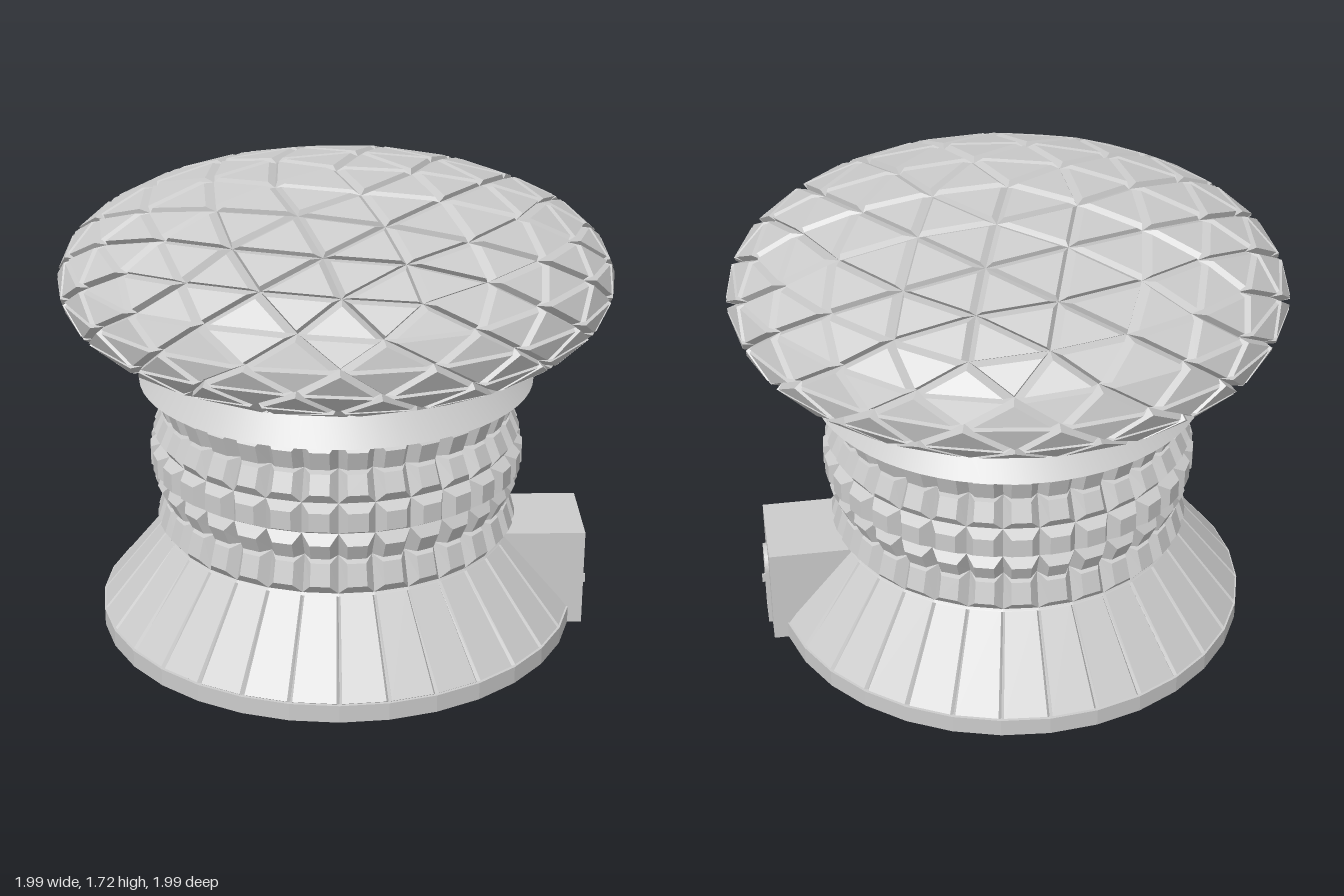
import * as THREE from 'three';
import { mergeVertices, toCreasedNormals } from 'three/addons/utils/BufferGeometryUtils.js';

const SIDES = 32;
const flat = new THREE.MeshStandardMaterial({ color: 0xcccccc, flatShading: true, side: THREE.DoubleSide });
const smooth = new THREE.MeshStandardMaterial({ color: 0xcccccc, side: THREE.DoubleSide });

function add(group, name, geometry, material = flat) {
  const mesh = new THREE.Mesh(geometry, material);
  mesh.name = name;
  group.add(mesh);
  return mesh;
}

// Point on a circle around the y axis; angle 0 faces the front (+z)
const polar = (r, y, a) => new THREE.Vector3(r * Math.sin(a), y, r * Math.cos(a));

function geometryFrom(points) {
  const g = new THREE.BufferGeometry().setFromPoints(points);
  g.computeVertexNormals();
  return g;
}

// A bevelled plate: an outer loop joined to a smaller, lifted loop
function plate(out, base, top, lift) {
  const n = top[1].clone().sub(top[0]).cross(top[2].clone().sub(top[0])).normalize();
  const t = top.map((p) => p.clone().addScaledVector(n, lift));
  const count = base.length;
  for (let i = 0; i < count; i++) {
    const j = (i + 1) % count;
    out.push(base[i], base[j], t[j], base[i], t[j], t[i]);
  }
  for (let i = 1; i < count - 1; i++) out.push(t[0], t[i], t[i + 1]);
}

// Ring of plates between two heights; u and v are the inset shares
function plateRing(out, [r0, y0], [r1, y1], u, v, lift) {
  for (let i = 0; i < SIDES; i++) {
    const a = (i / SIDES) * Math.PI * 2, b = ((i + 1) / SIDES) * Math.PI * 2;
    const base = [polar(r0, y0, a), polar(r0, y0, b), polar(r1, y1, b), polar(r1, y1, a)];
    const at = (s, t) => base[0].clone().lerp(base[1], s)
      .lerp(base[3].clone().lerp(base[2], s), t);
    plate(out, base, [at(u, v), at(1 - u, v), at(1 - u, 1 - v), at(u, 1 - v)], lift);
  }
}

// Triangles of a geodesic sphere with a corner at the top
function geodesic(levels) {
  const step = Math.PI / 5, lat = Math.atan(0.5);
  const ring = (k, s) => polar(Math.cos(lat), s * Math.sin(lat), Math.PI / 2 + k * step);
  const north = new THREE.Vector3(0, 1, 0), south = new THREE.Vector3(0, -1, 0);
  let tris = [];
  for (let k = 0; k < 10; k += 2) {
    const a = ring(k, 1), b = ring(k + 2, 1), c = ring(k + 1, -1), d = ring(k + 3, -1);
    tris.push([north, a, b], [a, c, b], [b, c, d], [c, south, d]);
  }
  const mid = (p, q) => p.clone().add(q).normalize();
  for (let l = 0; l < levels; l++) {
    tris = tris.flatMap(([a, b, c]) => {
      const ab = mid(a, b), bc = mid(b, c), ca = mid(c, a);
      return [[a, ab, ca], [ab, b, bc], [ca, bc, c], [ab, bc, ca]];
    });
  }
  return tris;
}

function archShape(w, h) {
  const s = new THREE.Shape();
  s.moveTo(-w, 0);
  s.lineTo(w, 0);
  s.lineTo(w, h - w);
  s.absarc(0, h - w, w, 0, Math.PI, false);
  s.lineTo(-w, 0);
  return s;
}

export function createModel() {
  const model = new THREE.Group();
  model.name = 'domedTower';

  // Foot slab and sloped skirt of panels
  add(model, 'footSlab', new THREE.CylinderGeometry(0.885, 0.885, 0.065, SIDES)).position.y = 0.0325;
  const skirt = [];
  plateRing(skirt, [0.87, 0.062], [0.625, 0.365], 0.05, 0, 0.012);
  add(model, 'skirt', geometryFrom(skirt));
  add(model, 'skirtTop', new THREE.CylinderGeometry(0.635, 0.645, 0.01, SIDES)).position.y = 0.365;

  // Neck: five rows of studded blocks
  const neck = [[0.64, 0.37], [0.6, 0.5], [0.65, 0.605], [0.65, 0.72], [0.6, 0.83], [0.64, 0.95]];
  for (let i = 0; i < neck.length - 1; i++) {
    const row = [];
    plateRing(row, neck[i], neck[i + 1], 0.22, 0.2, 0.04);
    add(model, 'neckBlocks' + (i + 1), geometryFrom(row));
  }

  // Flared collar under the dome
  const collar = [[0.6, 0.94], [0.72, 0.95], [0.62, 1.07]].map(([x, y]) => new THREE.Vector2(x, y));
  add(model, 'collar', toCreasedNormals(new THREE.LatheGeometry(collar, 64), 0.6), smooth);

  // Squashed dome of raised triangular panels
  const dome = [];
  for (const tri of geodesic(2)) {
    const base = tri.map((p) => p.clone().multiplyScalar(0.963));
    const centre = base[0].clone().add(base[1]).add(base[2]).divideScalar(3);
    plate(dome, base, base.map((p) => p.clone().lerp(centre, 0.2)), 0.04);
  }
  const squash = new THREE.Matrix4().makeScale(1, 0.385, 1).setPosition(0, 1.335, 0);
  add(model, 'dome', geometryFrom(dome.map((p) => p.clone().applyMatrix4(squash))));

  // Entrance porch on the left side
  const porch = new THREE.Group();
  porch.name = 'porch';
  model.add(porch);
  add(porch, 'porchBlock', new THREE.BoxGeometry(0.4, 0.37, 0.35)).position.set(0.705, 0.185, 0);
  add(porch, 'porchFace', new THREE.BoxGeometry(0.016, 0.37, 0.35)).position.set(0.912, 0.185, 0);

  // Arched door, its frame and handle
  const frameShape = archShape(0.072, 0.3);
  frameShape.holes.push(archShape(0.06, 0.286));
  const parts = [['doorFrame', frameShape, 0.014], ['door', archShape(0.06, 0.286), 0.006]];
  for (const [name, shape, depth] of parts) {
    const g = new THREE.ExtrudeGeometry(shape, { depth, bevelEnabled: false, curveSegments: 12 });
    const mesh = add(porch, name, g);
    mesh.rotation.y = Math.PI / 2;
    mesh.position.set(0.92, 0, 0);
  }
  add(porch, 'doorHandle', new THREE.BoxGeometry(0.02, 0.035, 0.007)).position.set(0.935, 0.12, 0.05);

  return model;
}
